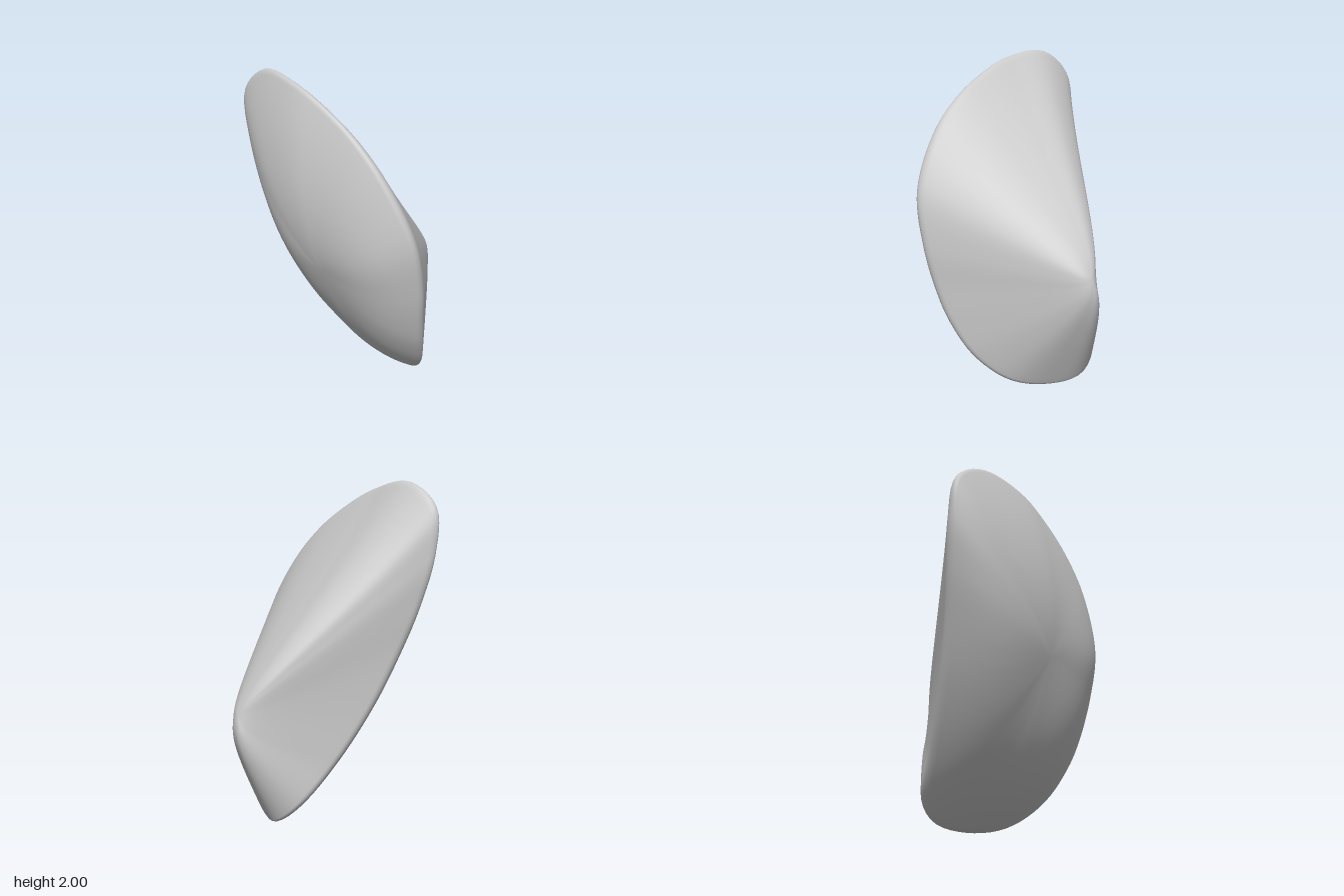
import * as THREE from 'three';
import { mergeVertices } from 'three/addons/utils/BufferGeometryUtils.js';

const V = (x, y, z) => new THREE.Vector3(x, y, z);
const { smoothstep, lerp } = THREE.MathUtils;

// Closed rim where the domed side meets the pointed side
const rim = new THREE.CatmullRomCurve3([
  [0.25, 0.16, -0.41], [0.03, 0.4, -0.445], [-0.19, 0.72, -0.48], [-0.35, 1.04, -0.515],
  [-0.45, 1.3, -0.55], [-0.525, 1.6, -0.58], [-0.54, 1.85, -0.555], [-0.485, 1.99, -0.37],
  [-0.42, 1.95, -0.1], [-0.35, 1.86, 0.08], [-0.26, 1.71, 0.28], [-0.17, 1.5, 0.45],
  [-0.06, 1.17, 0.58], [0.01, 0.85, 0.565], [0.05, 0.6, 0.51], [0.1, 0.4, 0.44],
  [0.18, 0.19, 0.31], [0.26, 0.05, 0.12], [0.3, 0.01, -0.1], [0.32, 0.05, -0.3],
].map(p => V(...p)), true);

const centre = V(-0.13, 1.0, 0);
const facing = V(-0.87, -0.35, 0.33); // normal of the rim's average plane
const bulge = V(-0.27, -0.12, 0.1);
const apex = V(0.68, 0.66, -0.325);
const sag = V(-0.2, -0.12, 0.08);

// Split a rim offset into a part along an axis and a part in the rim's plane
function split(r, axis) {
  const out = r.clone().sub(centre);
  const along = axis.clone().multiplyScalar(out.dot(facing) / axis.dot(facing));
  return { along, across: out.sub(along) };
}

// Smooth dome, fuller towards the bottom: w = 1 at the rim, 0 in the middle
function dome(r, w) {
  const { along, across } = split(r, bulge);
  const fullness = lerp(3, 1.9, smoothstep(r.y, 0.9, 1.9));
  return centre.clone().addScaledVector(across, w).addScaledVector(along, w * w)
    .addScaledVector(bulge, 1 - w ** fullness);
}

// Cone from the rim to a blunt point, slightly hollow towards the top
function cone(r, w) {
  const blunt = 0.155, axis = centre.clone().sub(apex);
  const { along, across } = split(r, axis);
  const axial = Math.sqrt((w * w + blunt * blunt) / (1 + blunt * blunt));
  const hollow = smoothstep(r.y, 1.3, 2) * w * w * (1 - w);
  return apex.clone().addScaledVector(axis, axial).addScaledVector(across, w)
    .addScaledVector(along, w * w / axial).addScaledVector(sag, hollow);
}

// One strip from dome middle, over the rounded rim, to the point
function strip(rimPoint) {
  const r = rimPoint.clone().sub(centre).multiplyScalar(1.031).add(centre);
  const edge = 0.95, pts = [];
  for (let i = 0; i <= 20; i++) pts.push(dome(r, edge * i / 20));
  const bend = new THREE.QuadraticBezierCurve3(dome(r, edge), r, cone(r, edge));
  for (let i = 1; i < 8; i++) pts.push(bend.getPoint(i / 8));
  for (let i = 0; i <= 28; i++) pts.push(cone(r, edge * (1 - i / 28) ** 1.4));
  return pts;
}

// Join neighbouring strips into a closed skin
function bodyGeometry() {
  const around = 120, pos = [], index = [];
  let rows = 0;
  for (let j = 0; j < around; j++) {
    const pts = strip(rim.getPointAt(j / around));
    rows = pts.length;
    pts.forEach(p => pos.push(p.x, p.y, p.z));
  }
  for (let j = 0; j < around; j++) {
    const a = j * rows, b = ((j + 1) % around) * rows;
    for (let k = 0; k < rows - 1; k++) {
      if (k > 0) index.push(a + k, b + k, b + k + 1);
      if (k < rows - 2) index.push(a + k, b + k + 1, a + k + 1);
      else index.push(a + k, b + k, a + k + 1);
    }
  }
  const skin = new THREE.BufferGeometry();
  skin.setAttribute('position', new THREE.Float32BufferAttribute(pos, 3));
  skin.setIndex(index);
  const merged = mergeVertices(skin, 1e-5);
  merged.computeVertexNormals();
  return merged;
}

export function createModel() {
  const grey = new THREE.MeshStandardMaterial({ color: 0xc8c8c8 });
  grey.name = 'light grey';
  const body = new THREE.Mesh(bodyGeometry(), grey);
  body.name = 'roundedShard';
  const group = new THREE.Group();
  group.name = 'shard';
  group.add(body);
  return group;
}
